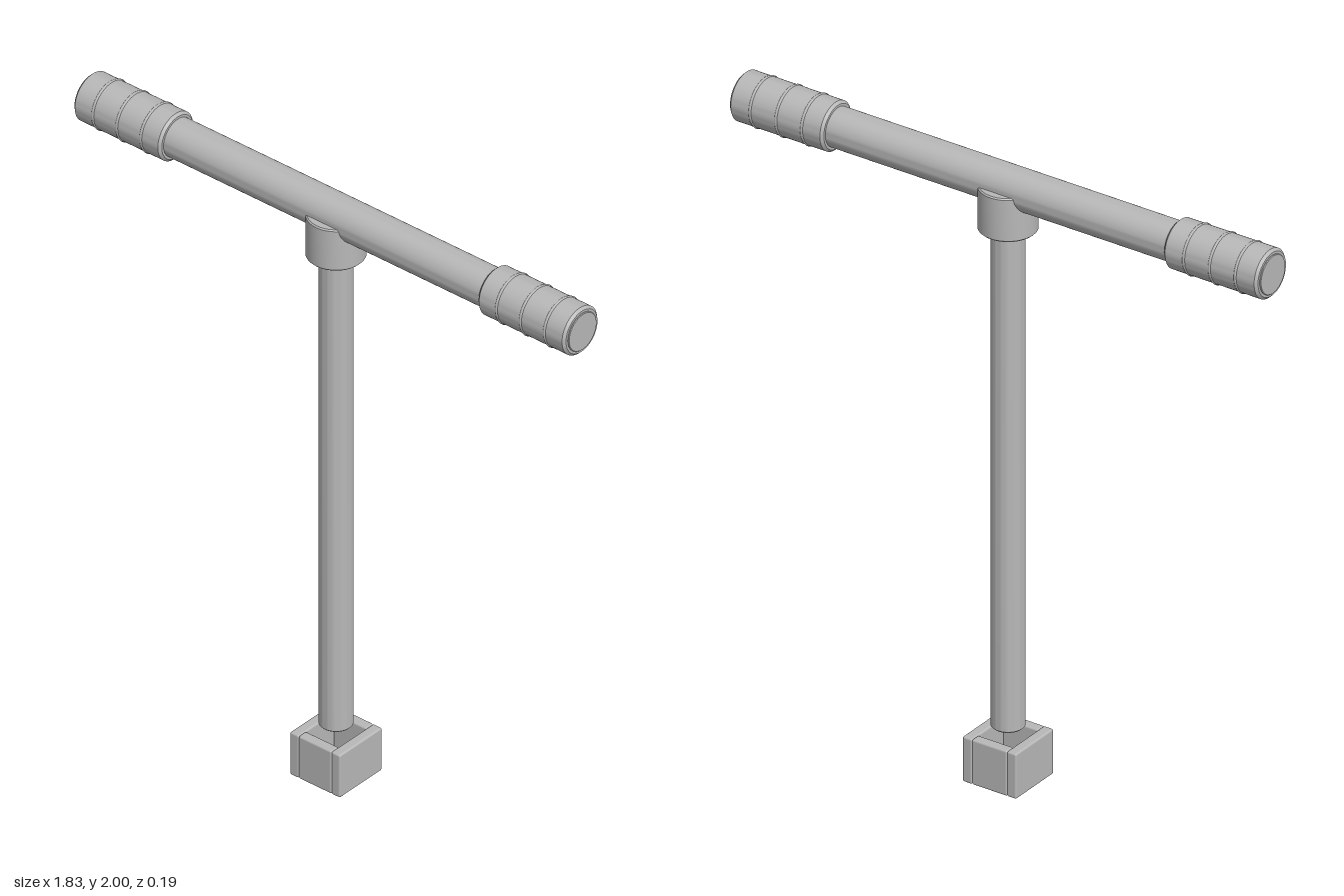
import * as THREE from 'three';
import { toCreasedNormals } from 'three/addons/utils/BufferGeometryUtils.js';
import { RoundedBoxGeometry } from 'three/addons/geometries/RoundedBoxGeometry.js';

const BAR_Y = 1.92;

// Solid rod along y with chamfered ends, from y0 to y1
function rod(radius, y0, y1, chamfer) {
  const profile = [
    [0, y0], [radius - chamfer, y0], [radius, y0 + chamfer],
    [radius, y1 - chamfer], [radius - chamfer, y1], [0, y1],
  ].map(([r, y]) => new THREE.Vector2(r, y));
  return toCreasedNormals(new THREE.LatheGeometry(profile, 48), 0.5);
}

export function createModel() {
  const model = new THREE.Group();
  model.name = 'tHandleSocketWrench';
  const steel = new THREE.MeshStandardMaterial({ color: 0xb8b8b8 });
  steel.name = 'steel grey';

  const add = (name, geometry, parent = model) => {
    const mesh = new THREE.Mesh(geometry, steel);
    mesh.name = name;
    parent.add(mesh);
    return mesh;
  };

  // Upright shaft and the collar joining it to the crossbar
  add('shaft', rod(0.05, 0.17, 1.88, 0.004));
  add('collar', rod(0.087, 1.78, BAR_Y, 0.004));

  // Crossbar, running through both grips
  const crossbar = add('crossbar', rod(0.0615, -0.916, 0.916, 0.002));
  crossbar.rotation.z = -Math.PI / 2;
  crossbar.position.y = BAR_Y;

  // Grips with three raised rings each
  for (const side of [-1, 1]) {
    const grip = new THREE.Group();
    grip.name = side > 0 ? 'leftGrip' : 'rightGrip';
    grip.position.y = BAR_Y;
    grip.rotation.z = -side * Math.PI / 2;
    add('gripSleeve', rod(0.077, 0.588, 0.912, 0.008), grip);
    for (const offset of [0.66, 0.749, 0.838]) {
      const ring = add('gripRing', new THREE.TorusGeometry(0.075, 0.005, 8, 48), grip);
      ring.rotation.x = Math.PI / 2;
      ring.position.y = offset;
    }
    model.add(grip);
  }

  // Square open socket made of four plates
  const socket = new THREE.Group();
  socket.name = 'socket';
  for (const side of [-1, 1]) {
    const cheek = add('socketSidePlate', new RoundedBoxGeometry(0.033, 0.146, 0.186, 2, 0.006), socket);
    cheek.position.set(side * 0.0765, 0.073, 0);
    const face = add('socketFacePlate', new RoundedBoxGeometry(0.122, 0.146, 0.033, 2, 0.006), socket);
    face.position.set(0, 0.073, side * 0.0765);
  }
  model.add(socket);

  return model;
}
